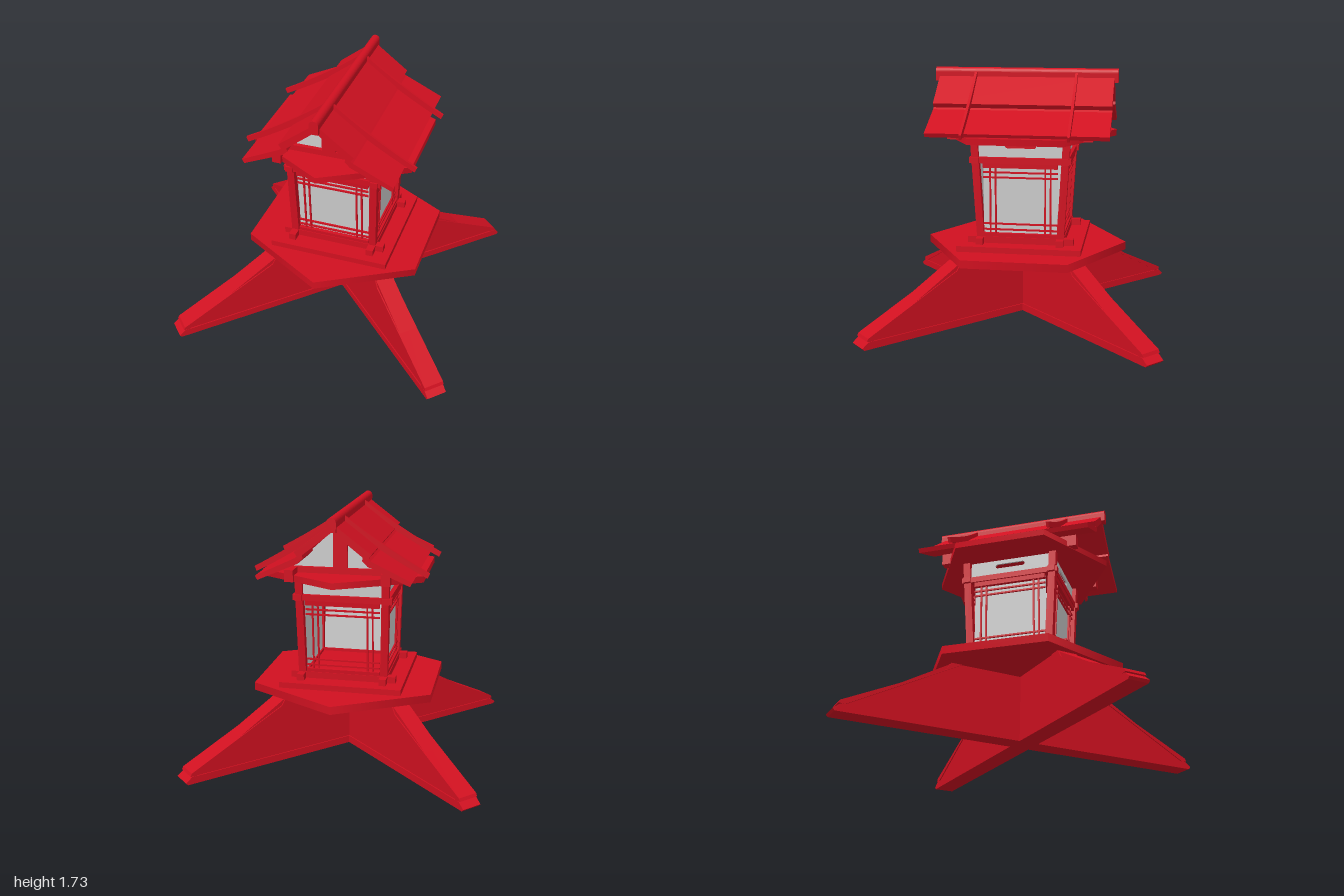
import * as THREE from 'three';

const red = new THREE.MeshStandardMaterial({ color: 0xd01020 });
const grey = new THREE.MeshStandardMaterial({ color: 0xcccccc, side: THREE.DoubleSide });

function add(parent, name, geo, mat = red) {
  const m = new THREE.Mesh(geo, mat);
  m.name = name;
  parent.add(m);
  return m;
}

// axis-aligned box from its centre and size
function box(parent, name, x, y, z, w, h, d, mat) {
  const m = add(parent, name, new THREE.BoxGeometry(w, h, d), mat);
  m.position.set(x, y, z);
  return m;
}

function shapeOf(pts) {
  return new THREE.Shape(pts.map(p => new THREE.Vector2(p[0], p[1])));
}

// profile in x/y, extruded along z and centred on z
function prism(parent, name, shape, depth, z = 0, mat = red) {
  const geo = new THREE.ExtrudeGeometry(shape, { depth, bevelEnabled: false, curveSegments: 8 });
  geo.translate(0, 0, z - depth / 2);
  return add(parent, name, geo, mat);
}

function hexPlate(parent, name, radius, y0, y1) {
  add(parent, name, new THREE.CylinderGeometry(radius, radius, y1 - y0, 6)).position.y = (y0 + y1) / 2;
}

// crossed rails with ends that run past the corners
function crossedRails(parent, name, y0, y1, cx, cz, w, ex, ez) {
  for (const s of [-1, 1]) {
    box(parent, name, 0, (y0 + y1) / 2, s * cz, ex * 2, y1 - y0, w);
    box(parent, name, s * cx, (y0 + y1) / 2, 0, w, y1 - y0, ez * 2);
  }
}

// diagonal leg: triangular board with base rail and sloping caps
function makeLeg() {
  const leg = new THREE.Group();
  leg.name = 'crossLeg';
  prism(leg, 'legBoard', shapeOf([[-1.3, 0.04], [1.3, 0.04], [0.57, 0.46], [-0.57, 0.46]]), 0.125);
  prism(leg, 'legBaseRail', shapeOf([[-1.33, 0], [1.33, 0], [1.344, 0.015], [1.3, 0.05], [-1.3, 0.05], [-1.344, 0.015]]), 0.14);
  for (const s of [-1, 1]) {
    prism(leg, 'legCap', shapeOf([[1.27, 0.05], [1.31, 0.055], [1.3, 0.075], [0.62, 0.4], [0.58, 0.46], [0.5, 0.46]]
      .map(([x, y]) => [s * x, y])), 0.14);
  }
  return leg;
}

// one lantern side, standing at its foot and facing +z
function makeSide(halfWidth, hasPane) {
  const side = new THREE.Group();
  side.name = 'lanternSide';
  const w = halfWidth * 2;
  if (hasPane) box(side, 'pane', 0, 0.255, -0.015, w, 0.51, 0.008, grey);
  box(side, 'topFrame', 0, 0.5, 0, w, 0.035, 0.03);
  box(side, 'bottomFrame', 0, 0.01, 0, w, 0.03, 0.03);
  for (const y of [0.05, 0.09, 0.415, 0.45]) box(side, 'latticeBar', 0, y, 0, w, 0.011, 0.012);
  for (const s of [-1, 1]) for (const x of [0.17, 0.207])
    box(side, 'latticeStrip', s * x, 0.255, 0, 0.011, 0.49, 0.012);
  // upper panel with a rounded slot
  const panel = shapeOf([[-halfWidth - 0.03, 0.54], [halfWidth + 0.03, 0.54], [halfWidth + 0.03, 0.68], [-halfWidth - 0.03, 0.68]]);
  const slot = new THREE.Path();
  slot.absarc(0.09, 0.63, 0.016, -Math.PI / 2, Math.PI / 2, false);
  slot.absarc(-0.09, 0.63, 0.016, Math.PI / 2, Math.PI * 1.5, false);
  panel.holes.push(slot);
  prism(side, 'slottedPanel', panel, 0.012, -0.012, grey);
  return side;
}

function makeLantern() {
  const g = new THREE.Group();
  g.name = 'lantern';
  box(g, 'step', 0, 0.535, 0, 0.84, 0.04, 0.85);
  box(g, 'floor', 0, 0.565, 0, 0.56, 0.03, 0.56);
  crossedRails(g, 'sill', 0.555, 0.6, 0.285, 0.275, 0.05, 0.365, 0.365);
  crossedRails(g, 'middleRail', 1.115, 1.155, 0.3, 0.305, 0.05, 0.34, 0.345);

  // corner posts, leaning slightly outwards
  for (const sx of [-1, 1]) for (const sz of [-1, 1]) {
    const geo = new THREE.BoxGeometry(0.05, 0.69, 0.05);
    const p = geo.attributes.position;
    for (let i = 0; i < p.count; i++) {
      const t = (p.getY(i) + 0.345) / 0.69;
      p.setX(i, p.getX(i) + sx * (0.285 + 0.012 * t));
      p.setZ(i, p.getZ(i) + sz * (0.275 + 0.04 * t));
    }
    geo.computeVertexNormals();
    add(g, 'cornerPost', geo).position.y = 0.94;
  }

  // four sides, the back one left open
  for (let i = 0; i < 4; i++) {
    const turn = new THREE.Group();
    turn.rotation.y = i * Math.PI / 2;
    const side = makeSide(0.255, i !== 2);
    side.position.set(0, 0.6, i % 2 ? 0.29 : 0.28);
    side.rotation.x = i % 2 ? 0.018 : 0.055;
    turn.add(side);
    g.add(turn);
  }
  return g;
}

function makeRoof() {
  const g = new THREE.Group();
  g.name = 'roof';
  hexPlate(g, 'ceilingPlate', 0.63, 1.275, 1.318);
  for (const s of [-1, 1]) {
    box(g, 'roofBeam', s * 0.32, 1.318, 0, 0.06, 0.08, 0.98);
    box(g, 'gableTie', 0, 1.335, s * 0.345, 0.74, 0.045, 0.05);
    box(g, 'gablePost', 0, 1.49, s * 0.345, 0.095, 0.3, 0.05);
    prism(g, 'gablePanel', shapeOf([[-0.42, 1.345], [0.42, 1.345], [0.22, 1.45], [0, 1.65], [-0.22, 1.45]]), 0.012, s * 0.335, grey);

    // overlapping roof boards
    const mirror = pts => shapeOf(pts.map(([x, y]) => [s * x, y]));
    prism(g, 'upperRoofBoard', mirror([[0, 1.695], [0.25, 1.505], [0.222, 1.465], [0, 1.64]]), 1.215);
    prism(g, 'lowerRoofBoard', mirror([[0.2, 1.5], [0.245, 1.465], [0.51, 1.34], [0.495, 1.312], [0.225, 1.43], [0.19, 1.465]]), 1.215);

    // curved battens laid over the slope
    for (const z of [-0.35, 0.35]) {
      const batten = new THREE.Shape();
      batten.moveTo(0, 1.728);
      batten.quadraticCurveTo(s * 0.25, 1.53, s * 0.59, 1.345);
      batten.lineTo(s * 0.575, 1.312);
      batten.quadraticCurveTo(s * 0.24, 1.485, 0, 1.675);
      prism(g, 'batten', batten, 0.018, z);
    }
  }

  // ridge pole with rounded top
  const ridge = new THREE.Shape();
  ridge.moveTo(-0.03, 1.64);
  ridge.lineTo(0.03, 1.64);
  ridge.absarc(0, 1.703, 0.031, 0, Math.PI, false);
  prism(g, 'ridgePole', ridge, 1.27);
  return g;
}

export function createModel() {
  const model = new THREE.Group();
  model.name = 'shrineLantern';
  for (const s of [-1, 1]) {
    const leg = makeLeg();
    leg.rotation.y = s * Math.PI / 4;
    model.add(leg);
  }
  const upper = new THREE.Group();
  upper.name = 'upperStructure';
  upper.position.z = -0.014;
  hexPlate(upper, 'platform', 0.71, 0.46, 0.515);
  upper.add(makeLantern(), makeRoof());
  model.add(upper);
  return model;
}
